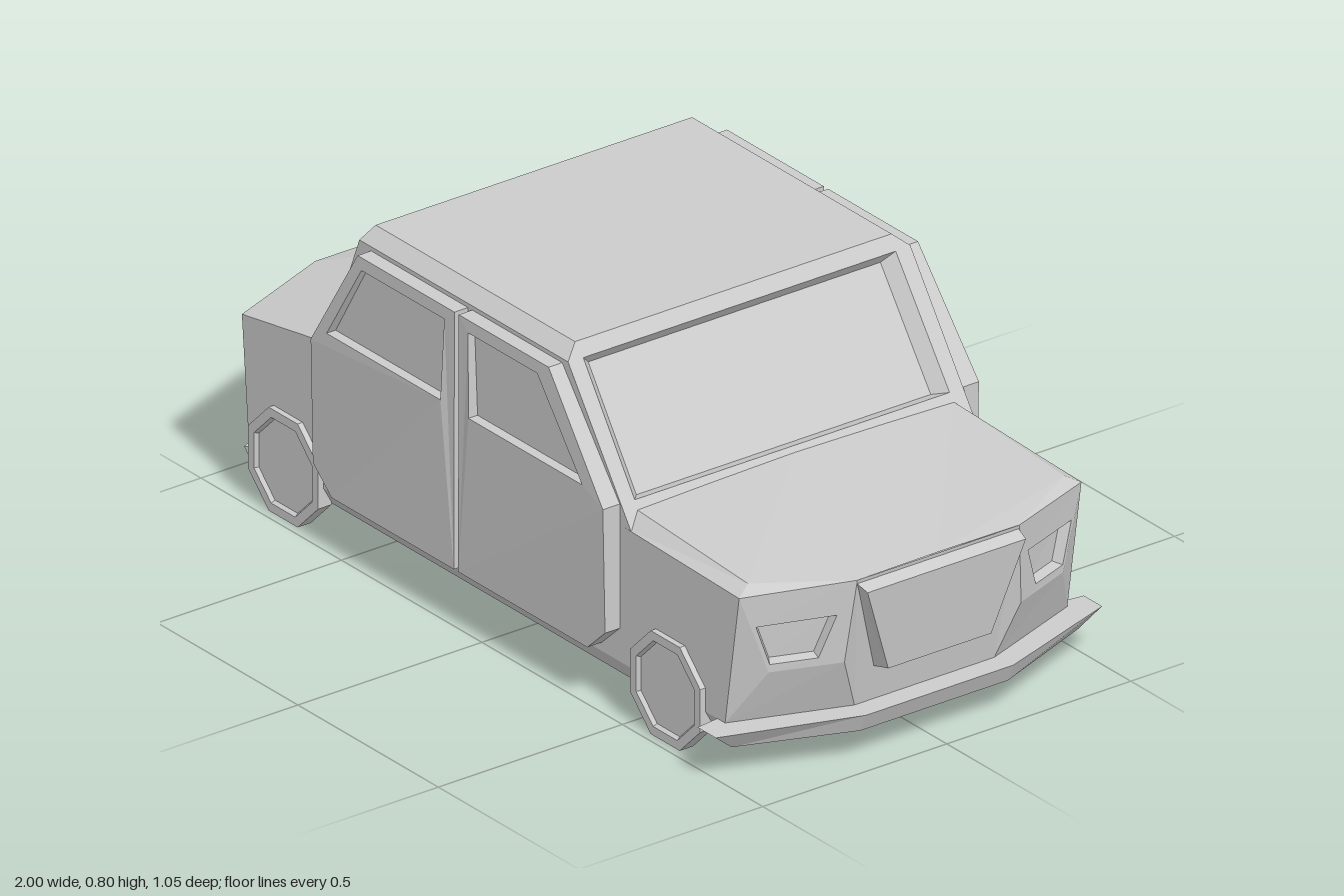
import * as THREE from 'three';

const mat = new THREE.MeshStandardMaterial({ color: 0xcccccc, flatShading: true, side: THREE.DoubleSide });
const V = (x, y, z) => new THREE.Vector3(x, y, z);
const flip = p => V(p.x, p.y, -p.z);

// Collects flat polygons, turning each one to face away from a reference point
class Faces {
  constructor(ref) { this.ref = ref; this.pos = []; }
  poly(pts, inwardTo) {
    const n = V(0, 0, 0), c = V(0, 0, 0);
    pts.forEach(p => c.addScaledVector(p, 1 / pts.length));
    for (let i = 1; i < pts.length - 1; i++)
      n.add(pts[i].clone().sub(pts[0]).cross(pts[i + 1].clone().sub(pts[0])));
    const out = inwardTo ? inwardTo.clone().sub(c) : c.clone().sub(this.ref);
    const p = n.dot(out) < 0 ? [...pts].reverse() : pts;
    for (let i = 1; i < p.length - 1; i++)
      for (const q of [p[0], p[i], p[i + 1]]) this.pos.push(q.x, q.y, q.z);
  }
  // Same polygon on both sides of the car
  both(...pts) { this.poly(pts); this.poly(pts.map(flip)); }
  // Four-cornered panel with a sunken window; uv gives the opening's corners
  panel([a, b, c, d], uv, depth, shrink) {
    const at = ([u, v]) => a.clone().lerp(b, u).lerp(d.clone().lerp(c, u), v);
    const hole = uv.map(at), outer = [a, b, c, d], mid = V(0, 0, 0);
    hole.forEach(p => mid.addScaledVector(p, 0.25));
    const n = c.clone().sub(a).cross(d.clone().sub(b)).normalize();
    if (n.dot(mid.clone().sub(this.ref)) > 0) n.negate();
    const floor = hole.map(p => p.clone().lerp(mid, shrink).addScaledVector(n, depth));
    for (let i = 0; i < 4; i++) {
      const j = (i + 1) % 4;
      this.poly([outer[i], outer[j], hole[j], hole[i]]);
      this.poly([hole[i], hole[j], floor[j], floor[i]], mid);
    }
    this.poly(floor);
  }
  mesh(name) {
    const g = new THREE.BufferGeometry();
    g.setAttribute('position', new THREE.Float32BufferAttribute(this.pos, 3));
    g.computeVertexNormals();
    return named(new THREE.Mesh(g, mat), name);
  }
}
function named(o, name) { o.name = name; return o; }

// Mirrors a geometry in z and restores its winding
function mirrorZ(geo) {
  const g = geo.index ? geo.toNonIndexed() : geo.clone(), p = g.attributes.position;
  const v = i => V(p.getX(i), p.getY(i), -p.getZ(i));
  for (let i = 0; i < p.count; i += 3)
    [v(i), v(i + 2), v(i + 1)].forEach((q, k) => p.setXYZ(i + k, q.x, q.y, q.z));
  g.computeVertexNormals();
  return g;
}

function lowerBody() {
  const f = new Faces(V(0, 0.25, 0));
  // Columns from tail to nose: belly edge, sill edge, shoulder
  const cols = [
    [V(-0.95, 0.075, 0.18), V(-0.975, 0.12, 0.19), V(-1, 0.43, 0.19)],
    [V(-0.86, 0.075, 0.44), V(-0.875, 0.12, 0.465), V(-0.9, 0.425, 0.465)],
    [V(-0.6, 0.075, 0.44), V(-0.6, 0.12, 0.465), V(-0.6, 0.475, 0.465)],
    [V(0.46, 0.075, 0.44), V(0.46, 0.12, 0.465), V(0.46, 0.45, 0.465)],
    [V(0.8, 0.075, 0.44), V(0.82, 0.12, 0.465), V(0.87, 0.44, 0.465)],
    [V(0.91, 0.075, 0.18), V(0.92, 0.12, 0.19), V(0.97, 0.45, 0.22)],
  ];
  for (let i = 0; i < 5; i++) {
    const [a, b] = [cols[i], cols[i + 1]];
    f.both(a[0], b[0], b[1], a[1]);
    if (i < 4) f.both(a[1], b[1], b[2], a[2]);
  }
  const belly = cols.map(c => c[0]);
  f.poly([...belly, ...belly.map(flip).reverse()]);
  const [r1, r2, m1, m2, a, b] = cols.map(c => c[2]);
  const e = cols[4][1], g = cols[5][1], t1 = cols[0][1];
  for (const c of [cols[0], cols[5]]) f.poly([c[0], c[1], flip(c[1]), flip(c[0])]);
  // Front corners with sunken headlights
  const c = V(0.89, 0.25, 0.4), d = V(0.95, 0.25, 0.24);
  f.both(c, d, g, e);
  f.both(a, c, e);
  f.both(b, d, g);
  for (const m of [p => p, flip])
    f.panel([a, b, d, c].map(m), [[0.05, 0.4], [0.85, 0.4], [0.66, 0.9], [0.05, 0.9]], 0.025, 0.08);
  f.poly([b, g, flip(g), flip(b)]);
  // Tail with number plate recess
  f.panel([flip(t1), t1, r1, flip(r1)], [[0.05, 0.03], [0.95, 0.03], [0.95, 0.3], [0.05, 0.3]], 0.012, 0.02);
  // Bonnet with chamfered edges
  const mi = V(0.46, 0.482, 0.43), ai = V(0.855, 0.46, 0.43);
  f.both(m2, a, ai, mi);
  f.both(a, b, ai);
  f.both(V(0.46, 0.49, 0), mi, ai, b, V(0.97, 0.452, 0));
  // Boot lid, sloping from a high middle point
  const top = V(-0.82, 0.475, 0);
  f.both(top, V(-0.6, 0.478, 0), m1);
  f.both(top, m1, r2);
  f.both(top, r2, r1);
  f.poly([top, r1, flip(r1)]);
  return f.mesh('lowerBody');
}

function cabin() {
  const f = new Faces(V(-0.08, 0.5, 0));
  const xs = [y => -0.61 + (y - 0.45) * 0.4, y => 0.485 - (y - 0.45) * 0.7];
  const at = (k, y, z) => V(xs[k](y), y, z);
  // Sides, roof chamfers and roof
  f.both(at(0, 0.45, 0.465), at(1, 0.45, 0.465), at(1, 0.77, 0.465), at(0, 0.77, 0.465));
  f.both(at(0, 0.77, 0.465), at(1, 0.77, 0.465), at(1, 0.8, 0.43), at(0, 0.8, 0.43));
  f.poly([at(0, 0.8, 0.43), at(1, 0.8, 0.43), at(1, 0.8, -0.43), at(0, 0.8, -0.43)]);
  // Windscreen and rear window
  for (const k of [0, 1]) {
    f.both(at(k, 0.45, 0.465), at(k, 0.77, 0.465), at(k, 0.8, 0.43));
    f.panel([at(k, 0.45, -0.465), at(k, 0.45, 0.465), at(k, 0.8, 0.43), at(k, 0.8, -0.43)],
      [[0.035, 0.145], [0.965, 0.145], [0.99, 0.91], [0.01, 0.91]], 0.03, 0.065);
  }
  return f.mesh('cabin');
}

// Bumper lofted through columns of [inner, outer top, outer bottom] in plan
function bumper(name, refX, plan) {
  const f = new Faces(V(refX, 0.1, 0)), ys = [0.12, 0.12, 0.075, 0.075];
  const cols = plan.map(c => [...c, c[0]].map(([x, z], i) => V(x, ys[i], z)));
  const all = [...cols, ...cols.map(c => c.map(flip)).reverse()];
  for (let i = 0; i < all.length - 1; i++)
    for (let j = 0; j < 3; j++)
      f.poly([all[i][j], all[i + 1][j], all[i + 1][j + 1], all[i][j + 1]]);
  f.both(...cols[0]);
  return f.mesh(name);
}

function grille() {
  const f = new Faces(V(0.95, 0.33, 0));
  const t = V(1, 0.43, 0.215), b = V(0.975, 0.215, 0.14), tb = V(0.965, 0.442, 0.22), bb = V(0.92, 0.205, 0.15);
  f.poly([t, b, flip(b), flip(t)]);
  f.poly([t, tb, flip(tb), flip(t)]);
  f.poly([b, bb, flip(bb), flip(b)]);
  f.both(t, b, bb, tb);
  return f.mesh('grille');
}

// Door outlines and window openings in side view
const doors = {
  rearDoor: {
    outline: [[-0.595, 0.2], [-0.53, 0.14], [-0.095, 0.14], [-0.095, 0.76], [-0.44, 0.76], [-0.595, 0.5]],
    pane: [[-0.54, 0.535], [-0.135, 0.535], [-0.13, 0.73], [-0.425, 0.73]],
  },
  frontDoor: {
    outline: [[-0.08, 0.14], [0.38, 0.14], [0.445, 0.2], [0.445, 0.5], [0.24, 0.76], [-0.08, 0.76]],
    pane: [[-0.035, 0.53], [0.37, 0.53], [0.2, 0.73], [-0.045, 0.73]],
  },
};
function door(name, { outline, pane }) {
  const pts = a => a.map(p => new THREE.Vector2(...p));
  const shape = new THREE.Shape(pts(outline));
  shape.holes.push(new THREE.Path(pts(pane)));
  const panel = new THREE.ExtrudeGeometry(shape, { depth: 0.05, bevelEnabled: false }).translate(0, 0, 0.461);
  // Lean the outer skin in above and below the waistline
  const p = panel.attributes.position;
  for (let i = 0; i < p.count; i++) {
    const dy = p.getY(i) - 0.5;
    if (p.getZ(i) > 0.5) p.setZ(i, 0.511 - (dy > 0 ? dy * 0.035 : -dy * 0.02));
  }
  panel.computeVertexNormals();
  const glass = new THREE.ShapeGeometry(new THREE.Shape(pts(pane))).translate(0, 0, 0.485);
  const group = named(new THREE.Group(), name);
  for (const m of [g => g, mirrorZ]) {
    group.add(named(new THREE.Mesh(m(panel), mat), 'doorPanel'));
    group.add(named(new THREE.Mesh(m(glass), mat), 'doorWindow'));
  }
  return group;
}

// Eight-sided wheel with a sunken hub
function wheel(x, side) {
  const R = 0.135;
  const profile = [[0, -0.018], [R, -0.018], [R, 0.018], [0.112, 0.018], [0.106, 0.009], [0, 0.009]];
  const g = new THREE.LatheGeometry(profile.map(p => new THREE.Vector2(...p)), 8);
  g.rotateY(Math.PI / 8).rotateX(side * Math.PI / 2);
  const m = named(new THREE.Mesh(g, mat), 'wheel');
  m.position.set(x, 0.125, side * 0.461);
  return m;
}

export function createModel() {
  const car = named(new THREE.Group(), 'car');
  car.add(lowerBody(), cabin(), grille());
  car.add(bumper('frontBumper', 0.9, [
    [[0.79, 0.45], [0.8, 0.525], [0.79, 0.465]],
    [[0.82, 0.44], [0.865, 0.525], [0.85, 0.47]],
    [[0.9, 0.19], [0.975, 0.2], [0.955, 0.2]],
  ]));
  car.add(bumper('rearBumper', -0.9, [
    [[-0.84, 0.45], [-0.875, 0.478], [-0.87, 0.46]],
    [[-0.95, 0.18], [-1, 0.2], [-0.985, 0.19]],
  ]));
  for (const [name, d] of Object.entries(doors)) car.add(door(name, d));
  for (const x of [-0.735, 0.625]) for (const s of [1, -1]) car.add(wheel(x, s));
  return car;
}
